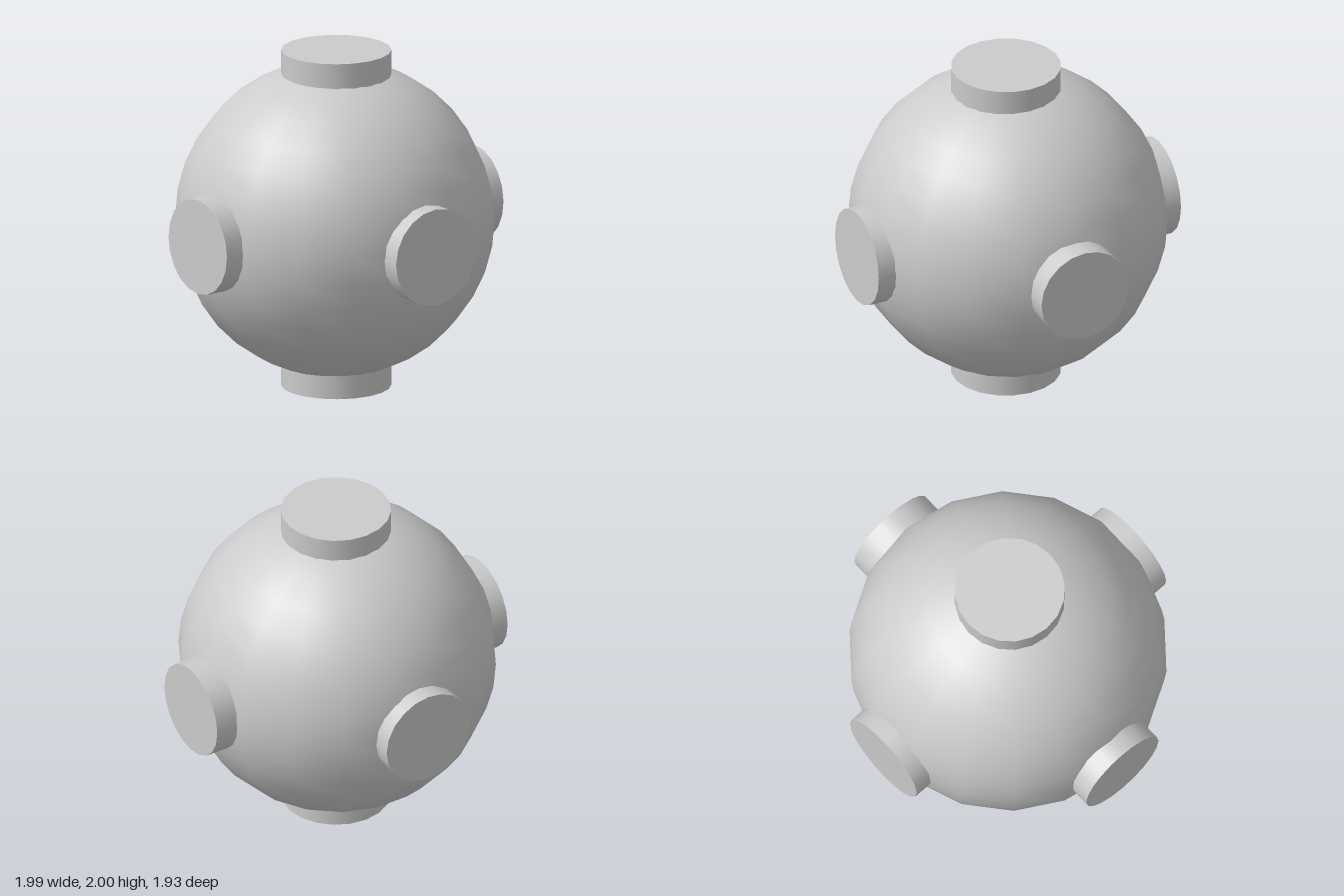
import * as THREE from 'three';

export function createModel() {
  const group = new THREE.Group();
  const material = new THREE.MeshStandardMaterial({ color: 0xcccccc });

  function add(name, geometry, x, y, z) {
    const mesh = new THREE.Mesh(geometry, material);
    mesh.name = name;
    mesh.position.set(x, y, z);
    group.add(mesh);
    return mesh;
  }

  // Smooth-shaded spherical hub
  add('sphereBody', new THREE.SphereGeometry(0.92, 18, 18), -0.01, 0.995, 0);

  // Each straight rod passes through the hub and shows as two opposite round studs
  const rod = (radius, length) => new THREE.CylinderGeometry(radius, radius, length, 20);
  add('verticalStuds', rod(0.318, 2), -0.01, 1, 0.013);
  add('sideStuds', rod(0.28, 1.99), 0, 0.982, -0.003).rotation.z = Math.PI / 2;
  add('frontBackStuds', rod(0.287, 1.935), -0.01, 0.971, 0).rotation.x = Math.PI / 2;

  return group;
}
